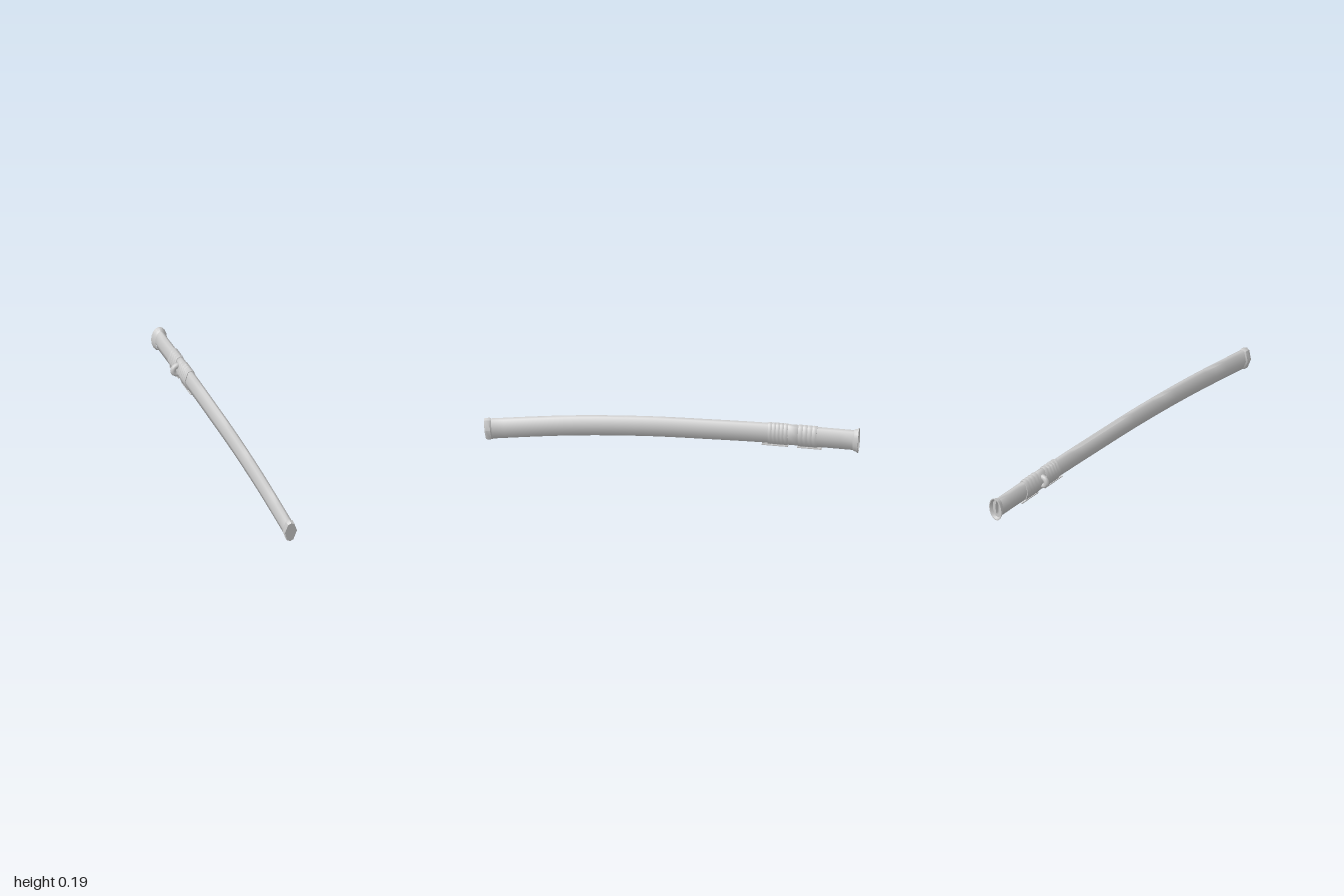
import * as THREE from 'three';
import { toCreasedNormals } from 'three/addons/utils/BufferGeometryUtils.js';

const CX = 0.01;
const material = new THREE.MeshStandardMaterial({ color: 0xcccccc });

// centre line of the curved scabbard: height along z
const spine = new THREE.SplineCurve([
  [1.1, 0.051], [0.99, 0.065], [0.55, 0.109], [0.15, 0.129], [-0.2, 0.131],
  [-0.5, 0.129], [-0.8, 0.119], [-1, 0.112], [-1.1, 0.107],
].map(([z, y]) => new THREE.Vector2(z, y)));
const table = spine.getPoints(240);
function heightAt(z) {
  const i = Math.max(1, table.findIndex((p) => p.x <= z));
  const a = table[i - 1], b = table[i];
  return a.y + (b.y - a.y) * (a.x - z) / (a.x - b.x);
}

// cross-section angles, clockwise seen from +z
const octagon = [0, 30, 90, 150, 180, 210, 270, 330].map(THREE.MathUtils.degToRad);
const round = Array.from({ length: 16 }, (_, i) => i * Math.PI / 8);

// skins sections [z, half width, half height], each square to the spine
function loft(name, sections, angles = octagon, crease = 1) {
  const n = angles.length, pos = [], index = [];
  sections.forEach(([z, rx, ry], i) => {
    const slope = (heightAt(z + 0.02) - heightAt(z - 0.02)) / 0.04;
    angles.forEach((a, j) => {
      const up = ry * Math.cos(a);
      pos.push(CX + rx * Math.sin(a), heightAt(z) + up, z - slope * up);
      if (i === sections.length - 1) return;
      const p = i * n + j, q = i * n + (j + 1) % n;
      index.push(p, q, q + n, p, q + n, p + n);
    });
  });
  const g = new THREE.BufferGeometry();
  g.setAttribute('position', new THREE.Float32BufferAttribute(pos, 3));
  g.setIndex(index);
  const mesh = new THREE.Mesh(toCreasedNormals(g, crease), material);
  mesh.name = name;
  return mesh;
}

// a row of slightly bulging cord turns
function wrap(name, start, end, turns) {
  const group = new THREE.Group();
  group.name = name;
  const step = (end - start) / turns;
  for (let i = 0; i < turns; i++) {
    const z = start + i * step;
    group.add(loft('cordTurn', [
      [z, 0.03, 0.057], [z, 0.035, 0.0605], [z + step * 0.25, 0.037, 0.062],
      [z + step * 0.75, 0.037, 0.062], [z + step, 0.035, 0.0605], [z + step, 0.03, 0.057],
    ]));
  }
  return group;
}

export function createModel() {
  const model = new THREE.Group();
  model.name = 'scabbard';

  // long curved body
  const body = [];
  for (let i = 0; i <= 24; i++) body.push([0.97 - i * 1.95 / 24, 0.03, 0.057]);
  model.add(loft('body', body));

  // faceted end cap
  model.add(loft('endCap', [
    [0.992, 0, 0], [0.992, 0.033, 0.058], [0.985, 0.037, 0.061],
    [0.962, 0.037, 0.061], [0.955, 0.03, 0.057],
  ], octagon, 0.7));

  // flared mouth with a recessed plate and a blade slot
  model.add(loft('mouth', [
    [-0.968, 0.03, 0.056], [-0.976, 0.036, 0.062], [-0.984, 0.037, 0.063],
    [-0.993, 0.044, 0.069], [-0.997, 0.044, 0.069], [-0.997, 0.039, 0.063],
    [-0.982, 0.031, 0.056], [-0.982, 0.011, 0.046], [-0.86, 0.009, 0.042],
    [-0.86, 0, 0],
  ], round, 0.7));

  // cord wraps either side of the knob
  model.add(wrap('frontWrap', -0.515, -0.62, 5));
  model.add(wrap('rearWrap', -0.675, -0.775, 4));
  model.add(loft('knobCollar', [
    [-0.618, 0.03, 0.057], [-0.622, 0.033, 0.059],
    [-0.672, 0.033, 0.059], [-0.677, 0.03, 0.057],
  ]));

  // loop knob on the right flank
  const knob = new THREE.Mesh(new THREE.TorusGeometry(0.025, 0.015, 10, 16), material);
  knob.name = 'cordKnob';
  knob.position.set(-0.016, 0.127, -0.648);
  model.add(knob);

  // loose cord ends along the underside
  for (const [z, length] of [[-0.55, 0.14], [-0.735, 0.13]]) {
    for (const side of [-1, 1]) {
      const strip = new THREE.Mesh(new THREE.BoxGeometry(0.009, 0.005, length), material);
      strip.name = 'cordEnd';
      strip.position.set(CX + side * 0.01, heightAt(z) - 0.064, z);
      strip.rotation.x = -0.03;
      model.add(strip);
    }
  }
  return model;
}
